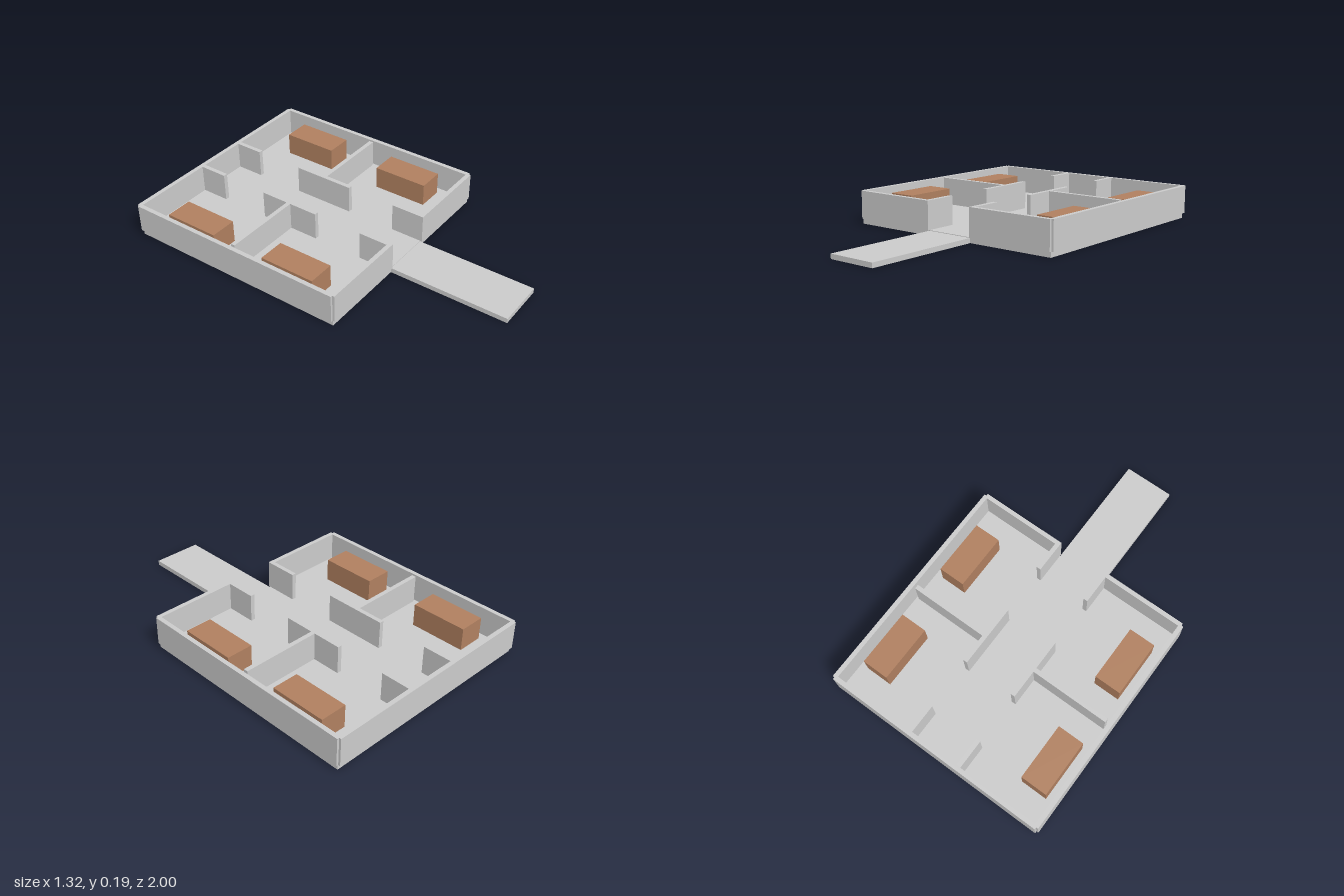
import * as THREE from 'three';

const FLOOR = 0.03, WALL_TOP = 0.19, BED_TOP = 0.16;

export function createModel() {
  const group = new THREE.Group();
  const grey = new THREE.MeshStandardMaterial({ color: 0xcccccc });
  const brown = new THREE.MeshStandardMaterial({ color: 0xb08060 });

  // box given by its limits on each axis
  const box = (name, [x0, x1], [y0, y1], [z0, z1], material = grey) => {
    const mesh = new THREE.Mesh(new THREE.BoxGeometry(Math.abs(x1 - x0), y1 - y0, z1 - z0), material);
    mesh.position.set((x0 + x1) / 2, (y0 + y1) / 2, (z0 + z1) / 2);
    mesh.name = name;
    group.add(mesh);
  };
  const wall = (name, xs, zs) => box(name, xs, [FLOOR, WALL_TOP], zs);

  // floor slab and entrance path
  box('floor', [-0.65, 0.65], [0, FLOOR], [-0.985, 0.315]);
  box('entrancePath', [-0.142, 0.142], [0, 0.027], [0.315, 1]);

  // back wall spans the full width
  wall('backWall', [-0.65, 0.65], [-1, -0.975]);

  for (const side of [-1, 1]) {
    const label = side > 0 ? 'left' : 'right';
    const xs = (a, b) => [side * a, side * b];

    // outer walls, with the entrance left open at the front
    wall(label + 'SideWall', xs(0.637, 0.662), [-0.988, 0.312]);
    wall(label + 'FrontWall', xs(0.143, 0.65), [0.3, 0.325]);

    // corridor walls with doorways between them
    for (const zs of [[-0.975, -0.81], [-0.52, -0.16], [0.13, 0.3]]) {
      wall(label + 'CorridorWall', xs(0.143, 0.168), zs);
    }

    // wall between the two rooms
    wall(label + 'RoomDivider', xs(0.168, 0.623), [-0.355, -0.33]);

    // one bed block in each room
    for (const zs of [[-0.828, -0.505], [-0.178, 0.145]]) {
      box(label + 'Bed', xs(0.44, 0.593), [FLOOR, BED_TOP], zs, brown);
    }
  }
  return group;
}
